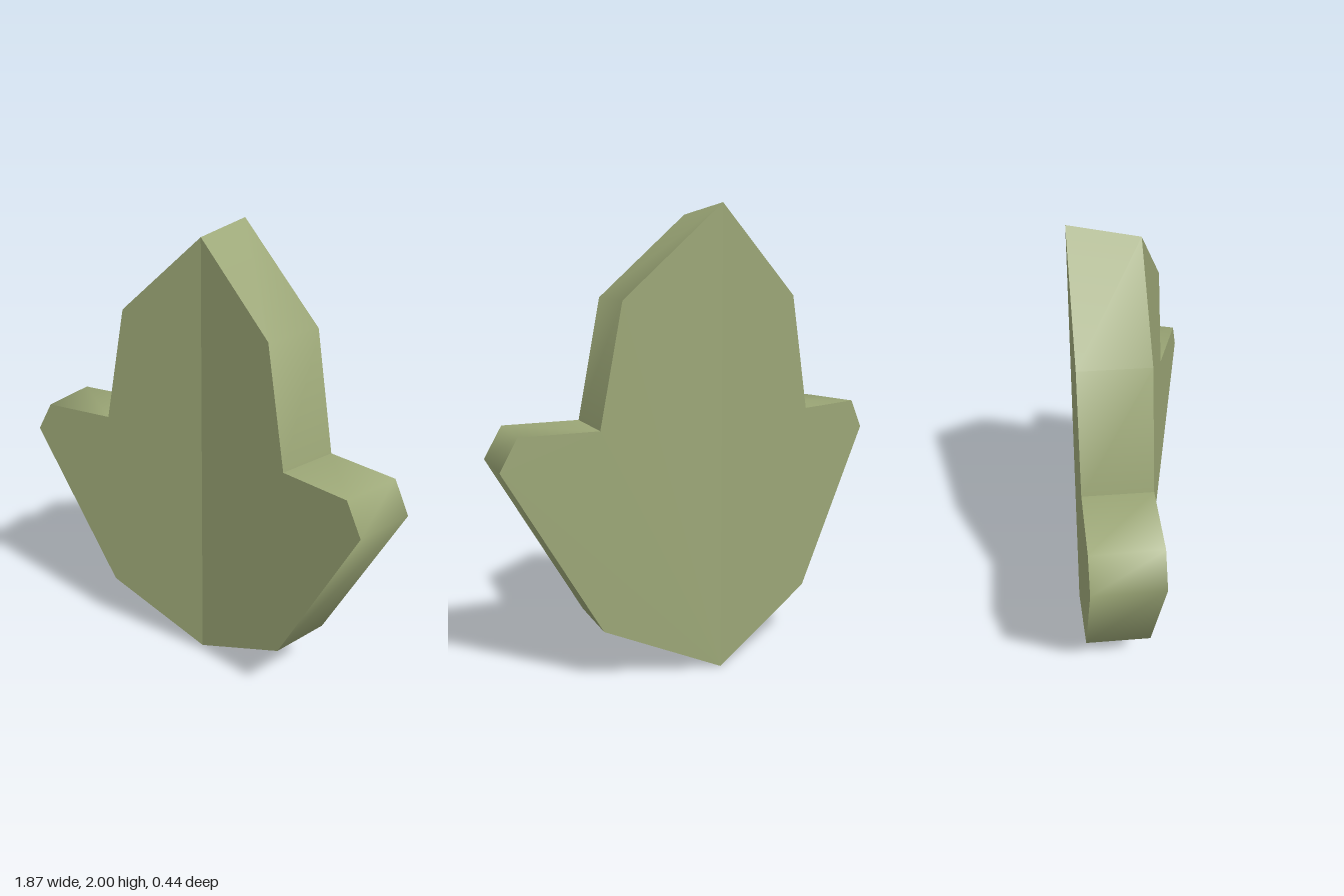
import * as THREE from 'three';
import { toCreasedNormals } from 'three/addons/utils/BufferGeometryUtils.js';

// Half outlines, clockwise from the top point to the bottom point
const BACK = [[0, 2], [0.43, 1.615], [0.53, 1.1], [0.86, 1.1], [0.934, 0.965], [0.53, 0.25], [0, 0]];
const FRONT = [[0, 1.96], [0.385, 1.615], [0.485, 1.1], [0.812, 1.1], [0.888, 0.965], [0.485, 0.25], [0, 0.025]];
const SWEEP = 0.165; // how far each half leans forward per unit of width

// Outline of one half as 3D points, still clockwise after mirroring
function outline(half, z0, side) {
  const pts = half.map(([x, y]) => new THREE.Vector3(x * side, y, z0 + x * SWEEP));
  return side > 0 ? pts : pts.reverse();
}

// Flat slanted face filling an outline
function faceGeometry(pts, z0, facesBack) {
  const geo = new THREE.ShapeGeometry(new THREE.Shape(pts.map((p) => new THREE.Vector2(p.x, p.y))));
  const pos = geo.attributes.position;
  for (let i = 0; i < pos.count; i++) pos.setZ(i, z0 + Math.abs(pos.getX(i)) * SWEEP);
  if (facesBack) geo.index.array.reverse();
  geo.computeVertexNormals();
  return geo;
}

// Outer rim joining the back outline to the front outline
function rimGeometry(back, front) {
  const verts = [];
  for (let i = 0; i < back.length - 1; i++) {
    const [a, b, c, d] = [back[i], front[i], front[i + 1], back[i + 1]];
    for (const p of [a, b, c, a, c, d]) verts.push(p.x, p.y, p.z);
  }
  const geo = new THREE.BufferGeometry();
  geo.setAttribute('position', new THREE.Float32BufferAttribute(verts, 3));
  return toCreasedNormals(geo, 1.2);
}

export function createModel() {
  const group = new THREE.Group();
  group.name = 'angledPlate';
  const olive = new THREE.MeshStandardMaterial({ name: 'oliveGreen', color: 0x9ba676 });
  const add = (name, geo) => {
    const mesh = new THREE.Mesh(geo, olive);
    mesh.name = name;
    group.add(mesh);
  };

  const zBack = -0.22, zFront = 0.072;
  for (const [label, side] of [['left', 1], ['right', -1]]) {
    const back = outline(BACK, zBack, side);
    const front = outline(FRONT, zFront, side);
    add(label + 'FrontFace', faceGeometry(front, zFront, false));
    add(label + 'BackFace', faceGeometry(back, zBack, true));
    add(label + 'Rim', rimGeometry(back, front));
  }
  return group;
}
